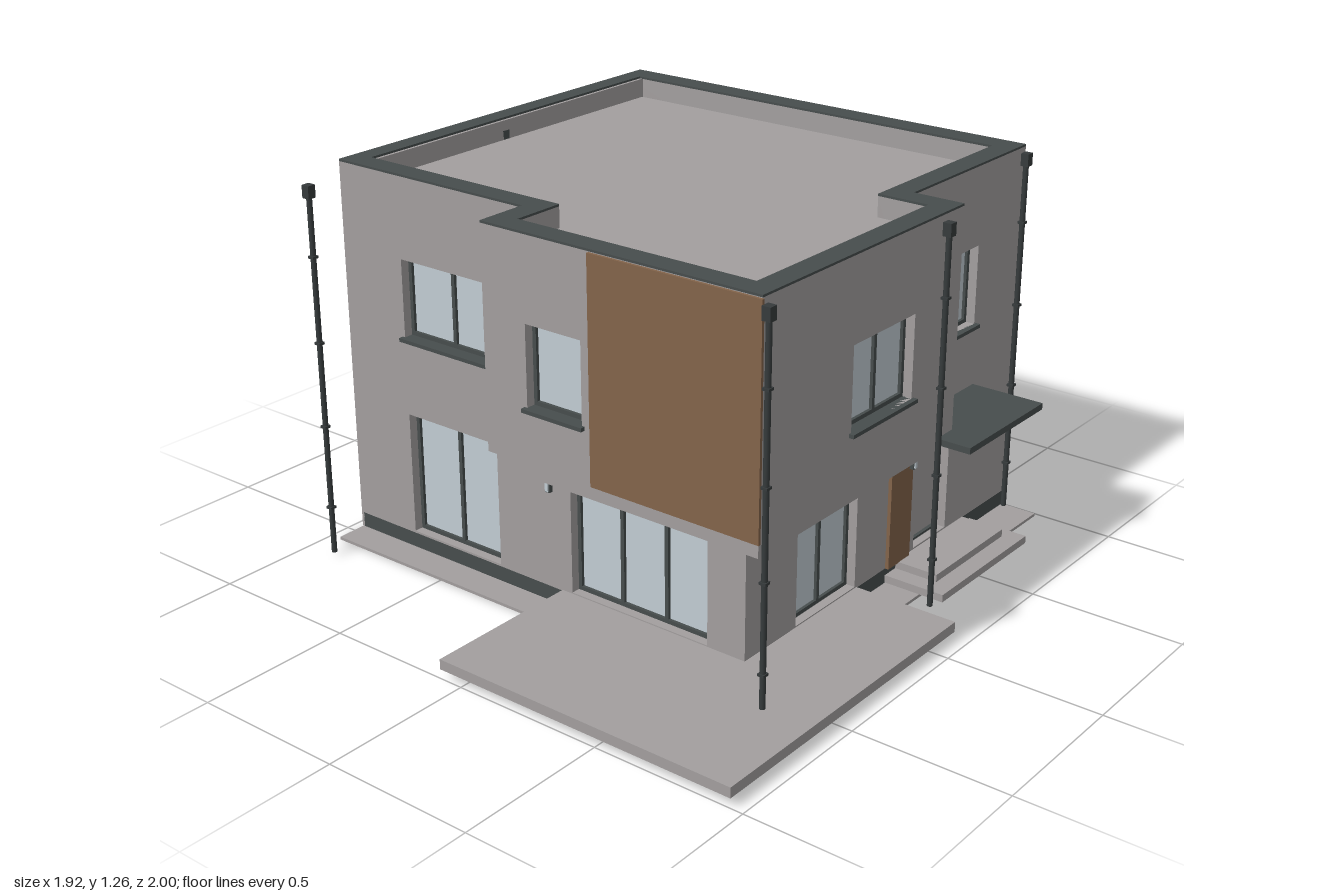
import * as THREE from 'three';

const mat = (name, color) => {
  const m = new THREE.MeshStandardMaterial({ color });
  m.name = name;
  return m;
};

export function createModel() {
  const render = mat('grey render', 0xa39f9f);
  const dark = mat('anthracite', 0x474d4d);
  const pipeMat = mat('dark pipe', 0x363b3c);
  const wood = mat('wood cladding', 0x83644a);
  const glass = mat('pale glass', 0xc2cdd4);
  const house = new THREE.Group();
  house.name = 'house';
  const T = 0.075; // wall thickness

  // Box given by its limits on each axis
  function box(parent, name, m, x0, x1, y0, y1, z0, z1) {
    const mesh = new THREE.Mesh(new THREE.BoxGeometry(x1 - x0, y1 - y0, z1 - z0), m);
    mesh.position.set((x0 + x1) / 2, (y0 + y1) / 2, (z0 + z1) / 2);
    mesh.name = name;
    parent.add(mesh);
    return mesh;
  }
  const shapeOf = (pts) => new THREE.Shape(pts.map(([a, b]) => new THREE.Vector2(a, b)));
  const rect = (u0, u1, v0, v1) => [[u0, v0], [u1, v0], [u1, v1], [u0, v1]];

  // One group per compass direction; inside it, +z points out of the wall
  const side = (name, angle) => {
    const g = new THREE.Group();
    g.name = name;
    g.rotation.y = angle;
    house.add(g);
    return g;
  };
  const front = side('frontSide', 0);
  const right = side('entranceSide', Math.PI / 2); // u = -z
  const back = side('backSide', Math.PI); // u = -x
  const left = side('blankSide', -Math.PI / 2); // u = z

  // Framed glazing set into a wall opening, with an optional outside sill
  function windowUnit(parent, d, { u0, u1, v0, v1, panes = 1, sill = true }) {
    const g = new THREE.Group();
    g.name = 'window';
    parent.add(g);
    const f = 0.013, zf = d - 0.03, zb = d - 0.055;
    box(g, 'glass', glass, u0, u1, v0, v1, zb, zf - 0.01);
    box(g, 'frameBottom', dark, u0, u1, v0, v0 + f, zb, zf);
    box(g, 'frameTop', dark, u0, u1, v1 - f, v1, zb, zf);
    for (let i = 0; i <= panes; i++) {
      const c = u0 + f / 2 + ((u1 - u0 - f) * i) / panes;
      box(g, 'frameUpright', dark, c - f / 2, c + f / 2, v0, v1, zb, zf);
    }
    if (sill) box(g, 'sill', dark, u0 - 0.01, u1 + 0.01, v0 - 0.012, v0, d - 0.03, d + 0.016);
  }

  // Wall from an outline with its outer face at distance d
  function wall(parent, name, d, pts, openings = []) {
    const s = shapeOf(pts);
    for (const o of openings) {
      s.holes.push(shapeOf(rect(o.u0, o.u1, o.v0, o.v1)));
      if (!o.door) windowUnit(parent, d, o);
    }
    const mesh = new THREE.Mesh(new THREE.ExtrudeGeometry(s, { depth: T, bevelEnabled: false }), render);
    mesh.position.z = d - T;
    mesh.name = name;
    parent.add(mesh);
  }

  // Main walls
  const B = 0.06, M = 0.555, H = 1.255;
  wall(front, 'frontWall', 0.47,
    [[-0.96, B], [0.61, B], [0.61, M], [-0.125, M], [-0.125, H], [-0.96, H]], [
      { u0: -0.71, u1: -0.335, v0: 0.735, v1: 0.99, panes: 2 },
      { u0: -0.71, u1: -0.335, v0: 0.067, v1: 0.475, panes: 2, sill: false },
      { u0: -0.04, u1: 0.475, v0: 0.067, v1: 0.475, panes: 3, sill: false },
    ]);
  wall(right, 'entranceWall', 0.61,
    [[-0.47, B], [0.985, B], [0.985, H], [0.255, H], [0.255, M], [-0.47, M]], [
      { u0: -0.22, u1: 0.09, v0: 0.067, v1: 0.475, panes: 2, sill: false },
      { u0: 0.415, u1: 0.725, v0: 0.735, v1: 0.995, panes: 2 },
      { u0: 0.42, u1: 0.61, v0: 0.067, v1: 0.475, door: true },
    ]);
  wall(back, 'backWall', 0.985, rect(-0.61, 0.96, B, H), [
    { u0: -0.48, u1: -0.38, v0: 0.35, v1: 0.48 },
    { u0: -0.165, u1: -0.065, v0: 0.35, v1: 0.48 },
    { u0: 0.27, u1: 0.4, v0: 0.785, v1: 1.04 },
    { u0: 0.585, u1: 0.685, v0: 0.865, v1: 0.995 },
    { u0: 0.585, u1: 0.685, v0: 0.35, v1: 0.48 },
  ]);
  wall(left, 'blankWall', 0.96, rect(-0.985, 0.47, 0.01, H));

  // Overhanging upper storey
  wall(front, 'overhangFront', 0.645, rect(-0.2, 0.78, M, H),
    [{ u0: -0.04, u1: 0.165, v0: 0.735, v1: 0.99 }]);
  wall(right, 'overhangRight', 0.78, rect(-0.645, 0.33, M, H),
    [{ u0: -0.22, u1: 0.09, v0: 0.735, v1: 0.995, panes: 2 }]);
  wall(left, 'overhangLeft', 0.2, rect(0.395, 0.645, M, H));
  wall(back, 'overhangBack', 0.33, rect(-0.78, -0.535, M, H));
  box(house, 'overhangFloor', render, -0.195, 0.775, M + 0.001, M + 0.02, -0.325, 0.64);
  box(house, 'overhangSoffit', render, -0.17, 0.76, 0.5, M, -0.3, 0.62);
  box(house, 'woodPanel', wood, 0.2, 0.785, 0.56, 1.253, 0.645, 0.654);

  // Roof deck and parapet coping, outlines drawn with y = -z
  const outer = [[-0.96, -0.47], [-0.2, -0.47], [-0.2, -0.645], [0.78, -0.645],
    [0.78, 0.33], [0.61, 0.33], [0.61, 0.985], [-0.96, 0.985]];
  const inner = [[-0.895, -0.395], [-0.125, -0.395], [-0.125, -0.57], [0.705, -0.57],
    [0.705, 0.255], [0.535, 0.255], [0.535, 0.905], [-0.895, 0.905]];
  function slab(name, shape, y, depth, m) {
    const mesh = new THREE.Mesh(new THREE.ExtrudeGeometry(shape, { depth, bevelEnabled: false }), m);
    mesh.rotation.x = -Math.PI / 2;
    mesh.position.y = y;
    mesh.name = name;
    house.add(mesh);
  }
  slab('roofDeck', shapeOf(inner), 1.17, 0.02, render);
  const coping = shapeOf(outer);
  coping.holes.push(shapeOf(inner));
  slab('parapetCoping', coping, H, 0.007, dark);
  box(house, 'roofOutlet', dark, -0.896, -0.885, 1.19, 1.22, -0.215, -0.185);

  // Plinth, apron, terrace and entrance steps
  box(house, 'plinth', dark, -0.95, 0.61, 0.008, B, -0.985, 0.47);
  box(house, 'apron', render, -0.955, 0.735, 0, 0.01, -0.983, 0.575);
  box(house, 'terrace', render, -0.08, 0.96, 0.03, 0.063, -0.1, 1);
  box(house, 'lowerStep', render, 0.6, 0.82, 0.012, 0.037, -0.77, -0.26);
  box(house, 'upperStep', render, 0.6, 0.76, 0.037, 0.062, -0.72, -0.32);

  // Entrance: recessed door, wood panel and canopy
  const door = new THREE.Group();
  door.name = 'frontDoor';
  right.add(door);
  box(door, 'doorLeaf', render, 0.42, 0.61, 0.067, 0.475, 0.54, 0.57);
  box(door, 'doorInset', render, 0.432, 0.53, 0.08, 0.41, 0.57, 0.576);
  box(door, 'doorFrameTop', dark, 0.42, 0.61, 0.462, 0.475, 0.54, 0.582);
  box(door, 'doorSill', dark, 0.42, 0.61, 0.067, 0.075, 0.54, 0.582);
  for (const u of [0.42, 0.597]) box(door, 'doorFrameSide', dark, u, u + 0.013, 0.067, 0.475, 0.54, 0.582);
  box(right, 'entranceWoodPanel', wood, 0.26, 0.38, B, 0.5, 0.61, 0.622);
  box(house, 'canopy', dark, 0.61, 0.862, 0.505, 0.526, -0.738, -0.302);
  box(house, 'canopyLamp', glass, 0.72, 0.75, 0.502, 0.505, -0.535, -0.505);

  // Wall lamps
  for (const [s, u, v, d] of [[front, -0.12, 0.41, 0.47], [right, -0.275, 0.41, 0.61], [right, 0.368, 0.395, 0.622]]) {
    box(s, 'wallLampBody', dark, u - 0.009, u + 0.009, v - 0.026, v + 0.026, d, d + 0.014);
    box(s, 'wallLampGlass', glass, u - 0.006, u + 0.006, v - 0.022, v + 0.022, d + 0.014, d + 0.018);
  }

  // Downpipes with hopper heads and brackets
  for (const [x, z] of [[-0.89, 0.66], [0.798, 0.642], [0.8, -0.22], [0.622, -0.972]]) {
    const g = new THREE.Group();
    g.name = 'downpipe';
    g.position.set(x, 0, z);
    house.add(g);
    const pipe = new THREE.Mesh(new THREE.CylinderGeometry(0.009, 0.009, 1.19, 12), pipeMat);
    pipe.position.y = 0.607;
    pipe.name = 'pipe';
    g.add(pipe);
    box(g, 'hopperHead', pipeMat, -0.014, 0.014, 1.197, 1.238, -0.014, 0.014);
    for (const y of [0.17, 0.45, 0.73, 1.01]) box(g, 'bracket', pipeMat, -0.011, 0.011, y - 0.004, y + 0.004, -0.011, 0.011);
  }
  return house;
}
